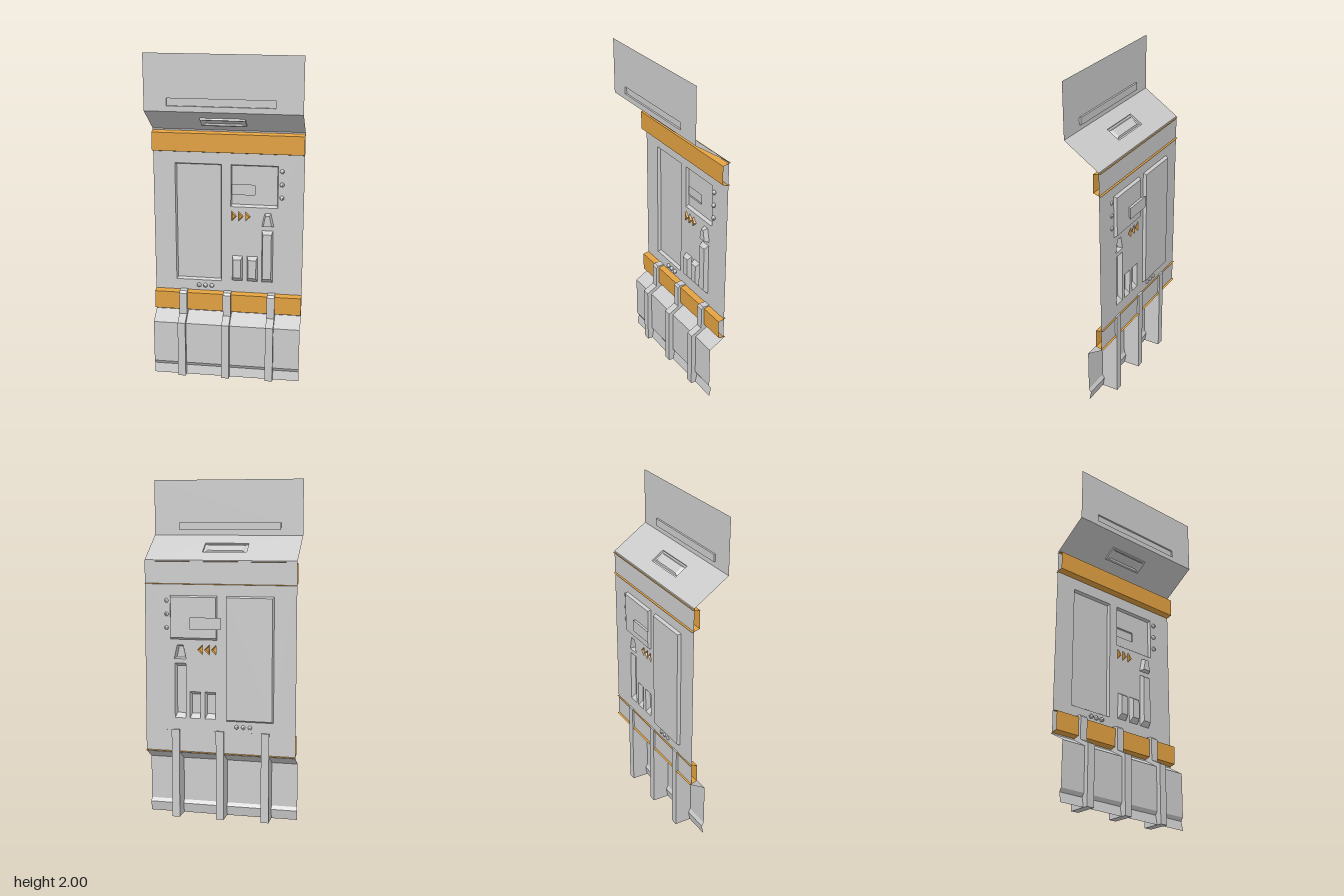
import * as THREE from 'three';

const W = 0.45;        // half width of the panel
const WALL = -0.089;   // z of the main wall sheet
const grey = new THREE.MeshStandardMaterial({ color: 0xcccccc, flatShading: true, side: THREE.DoubleSide });
const amber = new THREE.MeshStandardMaterial({ color: 0xe0a040, flatShading: true, side: THREE.DoubleSide });

function add(parent, name, geometry, material = grey) {
  const mesh = new THREE.Mesh(geometry, material);
  mesh.name = name;
  parent.add(mesh);
  return mesh;
}

// Faceted skin between two equal rings of points, with an optional cap on the second
function skin(a, b, closed, cap) {
  const pos = [];
  const n = a.length;
  for (let i = 0; i < (closed ? n : n - 1); i++) {
    const j = (i + 1) % n;
    pos.push(...a[i], ...a[j], ...b[j], ...a[i], ...b[j], ...b[i]);
  }
  if (cap) for (let i = 1; i < n - 1; i++) pos.push(...b[0], ...b[i], ...b[i + 1]);
  const g = new THREE.BufferGeometry();
  g.setAttribute('position', new THREE.Float32BufferAttribute(pos, 3));
  g.computeVertexNormals();
  return g;
}

// Open sheet: a (y, z) profile swept across the full width
const sheet = (profile) => skin(
  profile.map(([y, z]) => [-W, y, z]), profile.map(([y, z]) => [W, y, z]), false, false);

const rect = (x0, x1, y0, y1) => [[x0, y0], [x1, y0], [x1, y1], [x0, y1]];

// Tapered tray or boss from one outline to another
const tray = (a, b, z0, z1, cap = true) => skin(
  a.map(([x, y]) => [x, y, z0]), b.map(([x, y]) => [x, y, z1]), true, cap);

// Flat sheet with cut-outs
function plate(outline, holes, z) {
  const toV = (pts) => pts.map(([x, y]) => new THREE.Vector2(x, y));
  const s = new THREE.Shape(toV(outline));
  holes.forEach((h) => s.holes.push(new THREE.Path(toV(h))));
  return new THREE.ShapeGeometry(s).translate(0, 0, z);
}

export function createModel() {
  const root = new THREE.Group();
  root.name = 'wallPanel';
  const holes = [];

  // Shallow recesses in the wall
  const windowRim = rect(-0.32, -0.04, 0.597, 1.33);
  holes.push(windowRim);
  add(root, 'tallRecess', tray(windowRim, rect(-0.313, -0.046, 0.607, 1.322), WALL, -0.108));

  const screenRim = rect(0.015, 0.297, 1.073, 1.33);
  const screenFloor = rect(0.019, 0.291, 1.085, 1.322);
  const slotRim = rect(0.021, 0.158, 1.145, 1.205);
  holes.push(screenRim);
  add(root, 'screenRecessSides', tray(screenRim, screenFloor, WALL, -0.107, false));
  add(root, 'screenRecessFloor', plate(screenFloor, [slotRim], -0.107));
  add(root, 'slot', tray(slotRim, rect(-0.013, 0.17, 1.137, 1.207), -0.107, -0.124));

  // Raised bars, hollow behind
  [[0.025, 0.088, 0.765], [0.116, 0.18, 0.765], [0.204, 0.271, 0.932]].forEach(([x0, x1, top]) => {
    const base = rect(x0, x1, 0.605, top);
    holes.push(base);
    add(root, 'raisedBar', tray(base, rect(x0 + 0.008, x1 - 0.008, 0.632, top - 0.018), WALL, -0.062));
  });
  const wedge = [[0.202, 0.958], [0.275, 0.958], [0.256, 1.04], [0.22, 1.04]];
  holes.push(wedge);
  add(root, 'raisedWedge', tray(wedge,
    [[0.213, 0.965], [0.264, 0.965], [0.25, 1.031], [0.227, 1.031]], WALL, -0.062));

  // Arrow markers
  for (let i = 0; i < 3; i++) {
    const x = 0.021 + i * 0.041;
    const tri = [[x, 0.985], [x + 0.03, 1.015], [x, 1.045]];
    holes.push(tri);
    add(root, 'arrowMarker', tray(tri,
      [[x + 0.003, 0.993], [x + 0.022, 1.015], [x + 0.003, 1.037]], WALL, -0.079), amber);
  }

  // Round studs
  const studs = [[0.32, 1.3], [0.32, 1.22], [0.32, 1.14], [-0.18, 0.564], [-0.141, 0.564], [-0.101, 0.564]];
  studs.forEach(([x, y]) => add(root, 'stud',
    new THREE.SphereGeometry(0.0135, 10, 8)).position.set(x, y, -0.085));

  // Main wall sheet
  add(root, 'wall', plate(rect(-W, W, 0.395, 1.535), holes, WALL));

  // Amber bands, C-shaped in section
  [0.4, 1.396].forEach((y) => add(root, 'band', sheet([
    [y, -0.1], [y + 0.012, -0.053], [y + 0.122, -0.053], [y + 0.133, -0.1],
  ]), amber));

  // Overhanging soffit
  const soffit = new THREE.Group();
  soffit.name = 'soffit';
  root.add(soffit);
  const lightRim = rect(-0.143, 0.119, 0.082, 0.17);
  add(soffit, 'soffitSheet', plate(rect(-W, W, 0, 0.2516), [lightRim], 0));
  add(soffit, 'lightHousing', tray(lightRim, lightRim, 0, 0.011, false));
  const lens = rect(-0.133, 0.109, 0.092, 0.16);
  add(soffit, 'lightFrame', plate(lightRim, [lens], 0.011));
  add(soffit, 'lightLens', tray(lens, rect(-0.115, 0.091, 0.1, 0.152), 0.011, 0.001));
  soffit.position.set(0, 1.535, WALL);
  soffit.rotation.x = Math.atan2(0.209, 0.14);

  // Upper fascia with a long shallow recess
  const fasciaSlot = rect(-0.32, 0.297, 1.707, 1.75);
  add(root, 'fascia', plate(rect(-W, W, 1.675, 2), [fasciaSlot], 0.12));
  add(root, 'fasciaRecess', tray(fasciaSlot, fasciaSlot, 0.12, 0.109));

  // Sloped skirt with a kick strip at the foot
  add(root, 'skirt', sheet([
    [0.395, WALL], [0.34, 0.003], [0.078, 0.003], [0.057, -0.01], [0, 0.001],
  ]));

  // Solid ribs bracing the skirt and lower band
  const rib = new THREE.Shape([
    [0.1, 0], [-0.031, 0], [-0.031, 0.352], [0.035, 0.388], [0.035, 0.522], [0.047, 0.535], [0.1, 0.535],
  ].map(([x, y]) => new THREE.Vector2(x, y)));
  const ribGeo = new THREE.ExtrudeGeometry(rib, { depth: 0.047, bevelEnabled: false });
  ribGeo.translate(0, 0, -0.0235).rotateY(Math.PI / 2);
  [-0.272, -0.002, 0.267].forEach((x) => { add(root, 'rib', ribGeo).position.x = x; });

  return root;
}
